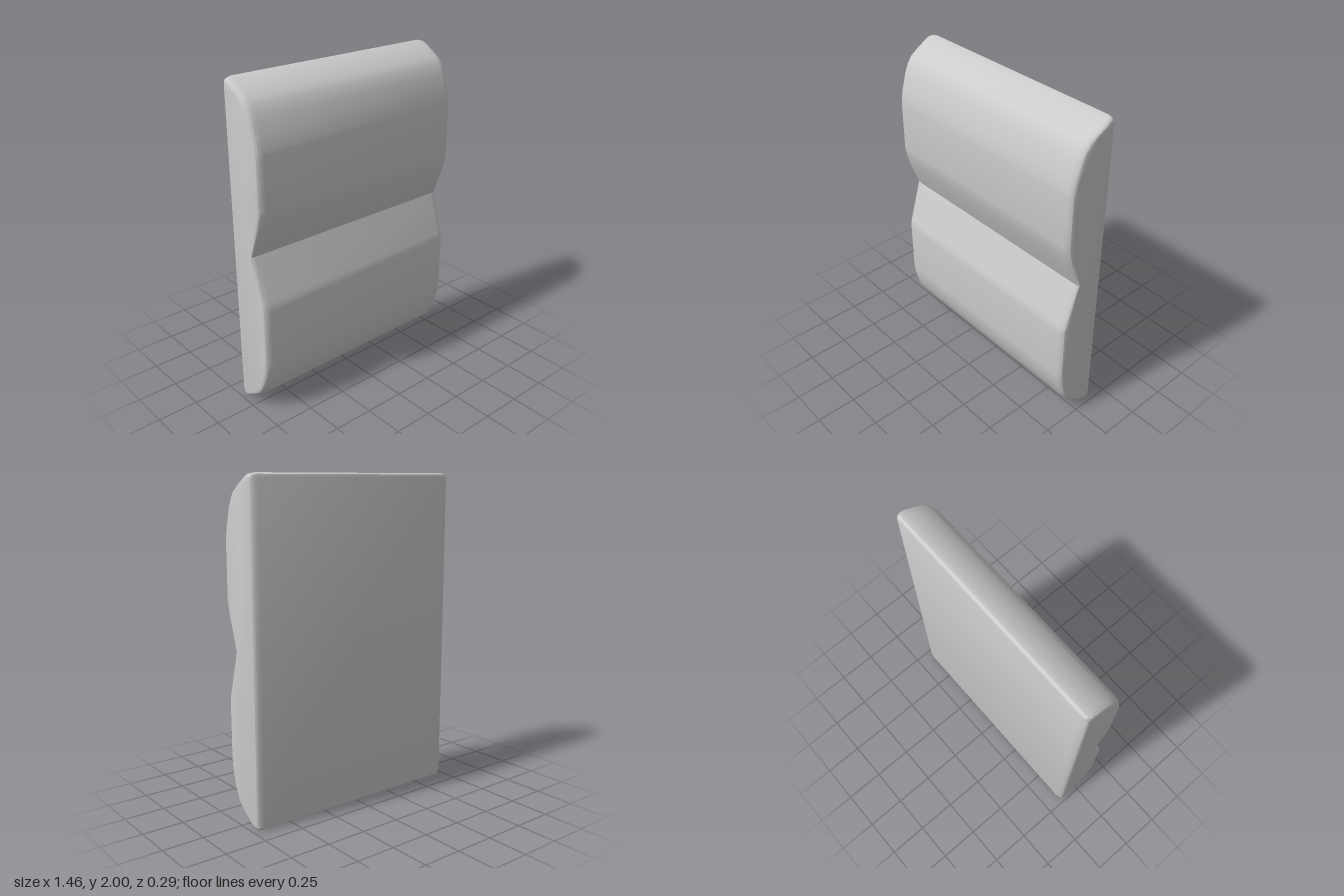
import * as THREE from 'three';
import { toCreasedNormals } from 'three/addons/utils/BufferGeometryUtils.js';

// Side profile as [z, y], from the top back edge down the front to the bottom
const PROFILE = [
  [-0.145, 1.975], [-0.14, 1.992], [-0.125, 2], [-0.1, 1.998],
  [-0.02, 1.955], [0.04, 1.917], [0.07, 1.882], [0.1, 1.82], [0.13, 1.72], [0.142, 1.66],
  [0.145, 1.63], [0.145, 1.32], [0.139, 1.28], [0.12, 1.205], [0.047, 1.02],
  [0.133, 0.76], [0.142, 0.73], [0.145, 0.7], [0.145, 0.37], [0.142, 0.33], [0.13, 0.265],
  [0.103, 0.18], [0.07, 0.12], [0.04, 0.085], [-0.02, 0.046],
  [-0.1, 0.002], [-0.125, 0], [-0.14, 0.008], [-0.145, 0.025],
];

// Sections across the width as [x, inset]; the ends are rounded over
const END = [[0.73, 0.03], [0.725, 0.016], [0.713, 0.006], [0.685, 0]];
const SECTIONS = [
  ...END.map(([x, d]) => [-x, d]),
  ...[...END].reverse(),
];

export function createModel() {
  const group = new THREE.Group();

  const shape = new THREE.Shape(PROFILE.map(([z, y]) => new THREE.Vector2(-z, y)));
  const steps = SECTIONS.length - 1;
  const geometry = new THREE.ExtrudeGeometry(shape, { depth: 1, steps, bevelEnabled: false });

  // Place each section across the width and shrink it by its inset
  const pos = geometry.attributes.position;
  for (let i = 0; i < pos.count; i++) {
    const [x, inset] = SECTIONS[Math.round(pos.getZ(i) * steps)];
    const z = -pos.getX(i) * (1 - inset / 0.145);
    const y = 1 + (pos.getY(i) - 1) * (1 - inset);
    pos.setXYZ(i, x, y, z);
  }

  const cushion = new THREE.Mesh(
    toCreasedNormals(geometry, 0.5),
    new THREE.MeshStandardMaterial({ color: 0xcccccc }),
  );
  cushion.name = 'paddedPanel';
  group.add(cushion);
  return group;
}
